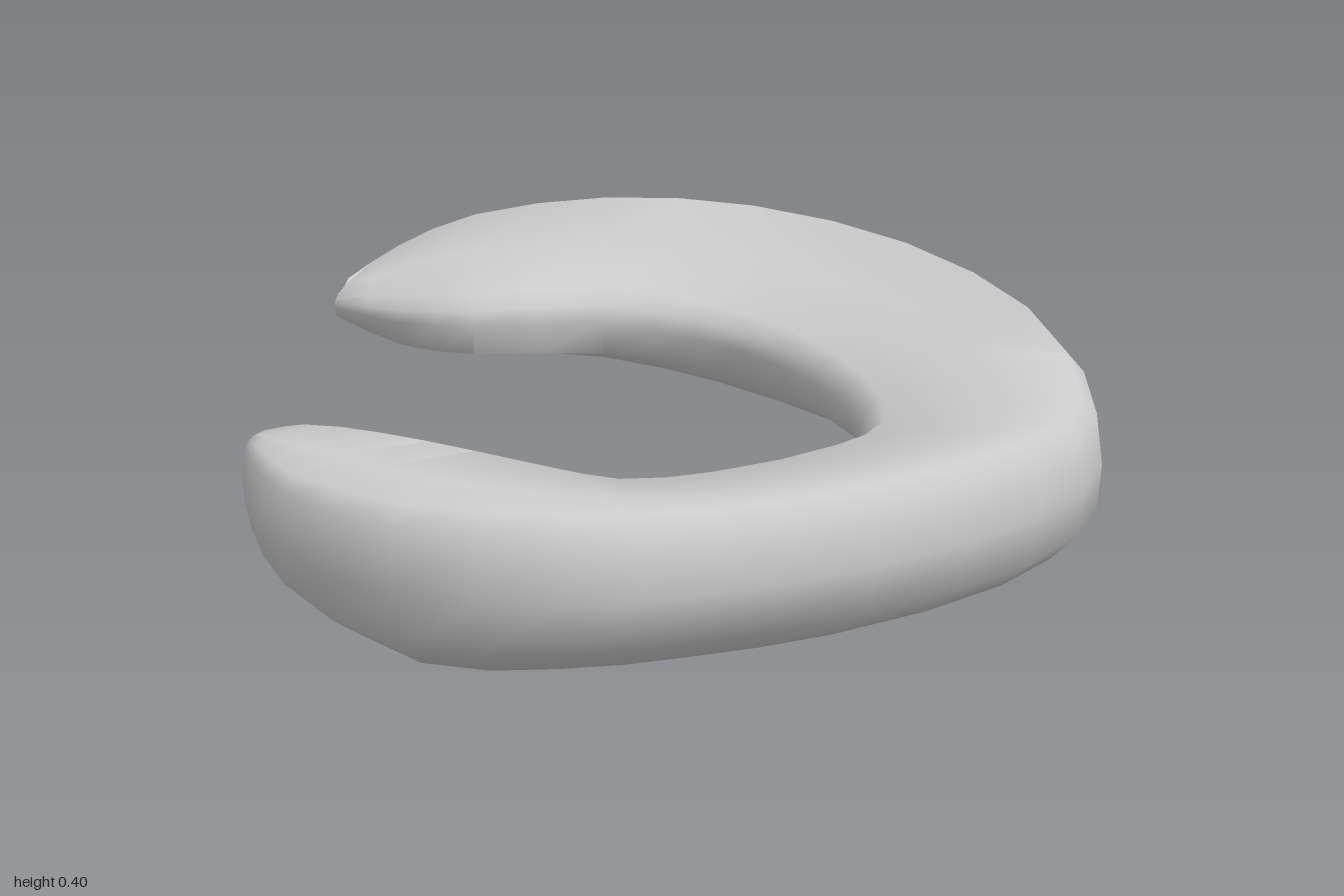
import * as THREE from 'three';
import { toCreasedNormals } from 'three/addons/utils/BufferGeometryUtils.js';

// Plan outline from the back horn round to the front horn: [outer x, outer z, inner x, inner z]
const outline = [
  [-0.63, -0.60, -0.63, -0.47],
  [-0.595, -0.775, -0.50, -0.385],
  [-0.50, -0.95, -0.38, -0.37],
  [-0.28, -1.005, -0.19, -0.47],
  [0.00, -0.975, -0.04, -0.475],
  [0.30, -0.81, 0.11, -0.39],
  [0.535, -0.525, 0.23, -0.22],
  [0.64, -0.08, 0.285, 0.00],
  [0.585, 0.31, 0.245, 0.225],
  [0.395, 0.67, 0.115, 0.465],
  [0.20, 0.865, 0.01, 0.555],
  [0.03, 0.98, -0.07, 0.585],
  [-0.20, 0.995, -0.16, 0.59],
  [-0.38, 0.875, -0.29, 0.56],
  [-0.45, 0.755, -0.41, 0.54],
  [-0.485, 0.655, -0.465, 0.565],
];

// Heights along the outline: [station, outer bottom, outer top, inner bottom, inner top, top inset, bottom inset]
const heights = [
  [0, 0.25, 0.30, 0.25, 0.285, 0.02, 0.02],
  [1, 0.21, 0.335, 0.22, 0.295, 0.05, 0.025],
  [2, 0.165, 0.37, 0.21, 0.305, 0.08, 0.03],
  [3, 0.125, 0.398, 0.20, 0.305, 0.09, 0.04],
  [4, 0.075, 0.393, 0.175, 0.285, 0.085, 0.04],
  [5, 0.02, 0.357, 0.15, 0.255, 0.07, 0.045],
  [6, 0, 0.295, 0.125, 0.22, 0.05, 0.05],
  [7, 0.02, 0.225, 0.115, 0.195, 0.02, 0.045],
  [10, 0.01, 0.22, 0.09, 0.21, 0.02, 0.10],
  [12, 0.01, 0.24, 0.07, 0.25, 0.03, 0.13],
  [13, 0.075, 0.25, 0.095, 0.265, 0.03, 0.09],
  [14, 0.14, 0.257, 0.145, 0.27, 0.03, 0.04],
  [15, 0.195, 0.257, 0.19, 0.262, 0.02, 0.02],
];

function heightsAt(station) {
  const next = Math.max(1, heights.findIndex((row) => row[0] >= station));
  const a = heights[next - 1];
  const b = heights[next];
  const t = (station - a[0]) / (b[0] - a[0]);
  return a.slice(1).map((v, i) => THREE.MathUtils.lerp(v, b[i + 1], t));
}

// Wedge cross-section: tall outer wall, dished top, thin inner edge, rounded underside
function section([ox, oz, ix, iz], station) {
  const [yb, yt, bi, ti, insT, insB] = heightsAt(station);
  const width = Math.hypot(ix - ox, iz - oz);
  const h = yt - yb;
  const lip = Math.min(0.035, width * 0.2);
  const profile = [
    [insB, yb],
    [insB * 0.25, yb + h * 0.18],
    [insT * 0.2, yb + h * 0.5],
    [insT * 0.65, yt - h * 0.12],
    [insT + lip * 0.5, yt],
    [width * 0.45, yt + (ti - yt) * 0.6],
    [width - lip, ti],
    [width - lip * 0.2, ti - (ti - bi) * 0.25],
    [width, (ti + bi) / 2],
    [width - lip * 0.6, bi],
    [width * 0.65, yb + (bi - yb) * 0.55],
  ];
  return profile.map(([d, y]) => {
    const t = d / width;
    return new THREE.Vector3(ox + (ix - ox) * t, y, oz + (iz - oz) * t);
  });
}

// Closed loft through smoothed sections, with a fan over each end
function loft(sections, steps) {
  const m = sections[0].length;
  const rows = (sections.length - 1) * steps + 1;
  const columns = [];
  for (let k = 0; k < m; k++) {
    const curve = new THREE.CatmullRomCurve3(sections.map((s) => s[k]));
    columns.push(curve.getPoints(rows - 1));
  }
  const positions = [];
  const index = [];
  for (let i = 0; i < rows; i++) {
    for (let k = 0; k < m; k++) positions.push(...columns[k][i].toArray());
  }
  for (let i = 0; i < rows - 1; i++) {
    for (let k = 0; k < m; k++) {
      const a = i * m + k;
      const b = i * m + ((k + 1) % m);
      index.push(a, b, a + m, b, b + m, a + m);
    }
  }
  // Rounded tips: the centre of each fan is pushed out slightly
  const addTip = (row, neighbour, flip) => {
    const centre = new THREE.Vector3();
    const inward = new THREE.Vector3();
    for (let k = 0; k < m; k++) {
      centre.addScaledVector(columns[k][row], 1 / m);
      inward.addScaledVector(columns[k][neighbour], 1 / m);
    }
    centre.add(centre.clone().sub(inward).setLength(0.012));
    const c = positions.length / 3;
    positions.push(...centre.toArray());
    for (let k = 0; k < m; k++) {
      const a = row * m + k;
      const b = row * m + ((k + 1) % m);
      if (flip) index.push(c, b, a);
      else index.push(c, a, b);
    }
  };
  addTip(0, 1, true);
  addTip(rows - 1, rows - 2, false);

  const geometry = new THREE.BufferGeometry();
  geometry.setAttribute('position', new THREE.Float32BufferAttribute(positions, 3));
  geometry.setIndex(index);
  return toCreasedNormals(geometry, THREE.MathUtils.degToRad(60));
}

export function createModel() {
  const group = new THREE.Group();
  group.name = 'crescentCartilage';
  const material = new THREE.MeshStandardMaterial({ color: 0xcccccc });
  const body = new THREE.Mesh(loft(outline.map(section), 2), material);
  body.name = 'crescentBody';
  group.add(body);
  return group;
}
